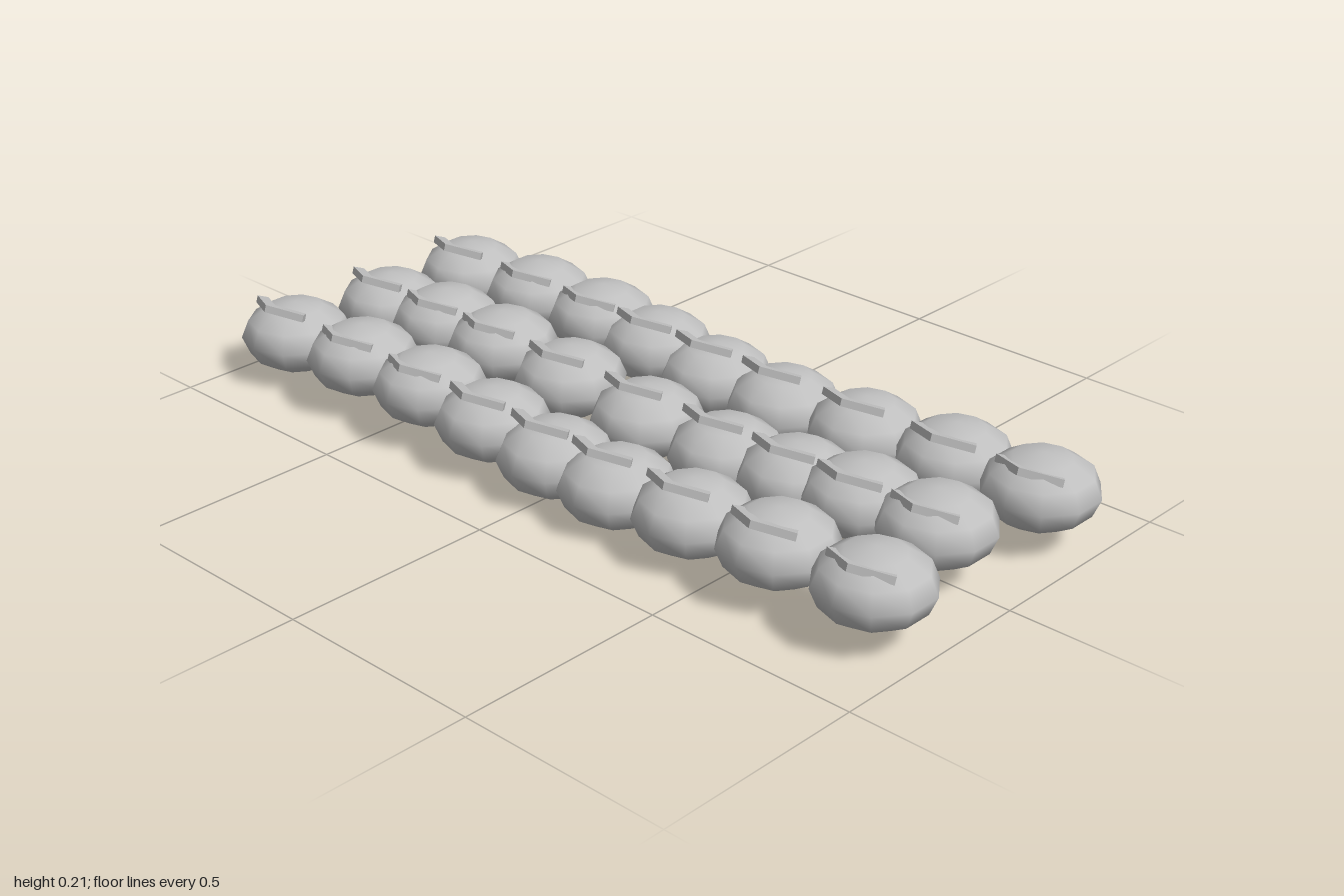
import * as THREE from 'three';

// x positions of the pebbles in each row, from right to left of the model
const ROWS = [
  { z: 0.27, xs: [-0.876, -0.635, -0.405, -0.2, -0.005, 0.18, 0.395, 0.625, 0.868] },
  { z: 0, xs: [-0.846, -0.647, -0.453, -0.23, 0.01, 0.245, 0.443, 0.62, 0.812] },
  { z: -0.27, xs: [-0.852, -0.61, -0.395, -0.214, -0.027, 0.176, 0.41, 0.652, 0.872] },
];
const RADIUS = 0.13, SQUASH = 0.64;

// Thin V-shaped bar lying flat, its point at the origin and facing +z
function chevronGeometry() {
  const shape = new THREE.Shape([
    [0, 0], [0.085, 0.044], [0.07, 0.065], [0, 0.028], [-0.07, 0.065], [-0.085, 0.044],
  ].map(([x, y]) => new THREE.Vector2(x, y)));
  const geo = new THREE.ExtrudeGeometry(shape, { depth: 0.017, bevelEnabled: false });
  return geo.rotateX(-Math.PI / 2);
}

export function createModel() {
  const model = new THREE.Group();
  model.name = 'pebbleRows';
  const grey = new THREE.MeshStandardMaterial({ color: 0xc0c0c0 });
  grey.name = 'light grey';

  // Ten-sided squashed ball with a corner facing front and back
  const ball = new THREE.SphereGeometry(RADIUS, 10, 6).rotateY(Math.PI / 2).scale(1, SQUASH, 1);
  const chevron = chevronGeometry();

  ROWS.forEach(({ z, xs }, r) => {
    const row = new THREE.Group();
    row.name = 'row' + (r + 1);
    xs.forEach((x, i) => {
      // Balls ride a gentle wave along the row
      const pebble = new THREE.Mesh(ball, grey);
      pebble.name = 'pebble';
      pebble.position.set(x, 0.106 + 0.021 * Math.sin(i), z);

      // Chevrons all sit at one height, tipped up at the front
      const mark = new THREE.Mesh(chevron, grey);
      mark.name = 'chevron';
      mark.position.set(x, 0.19, z + 0.091);
      mark.rotation.x = -0.32;
      row.add(pebble, mark);
    });
    model.add(row);
  });
  return model;
}
